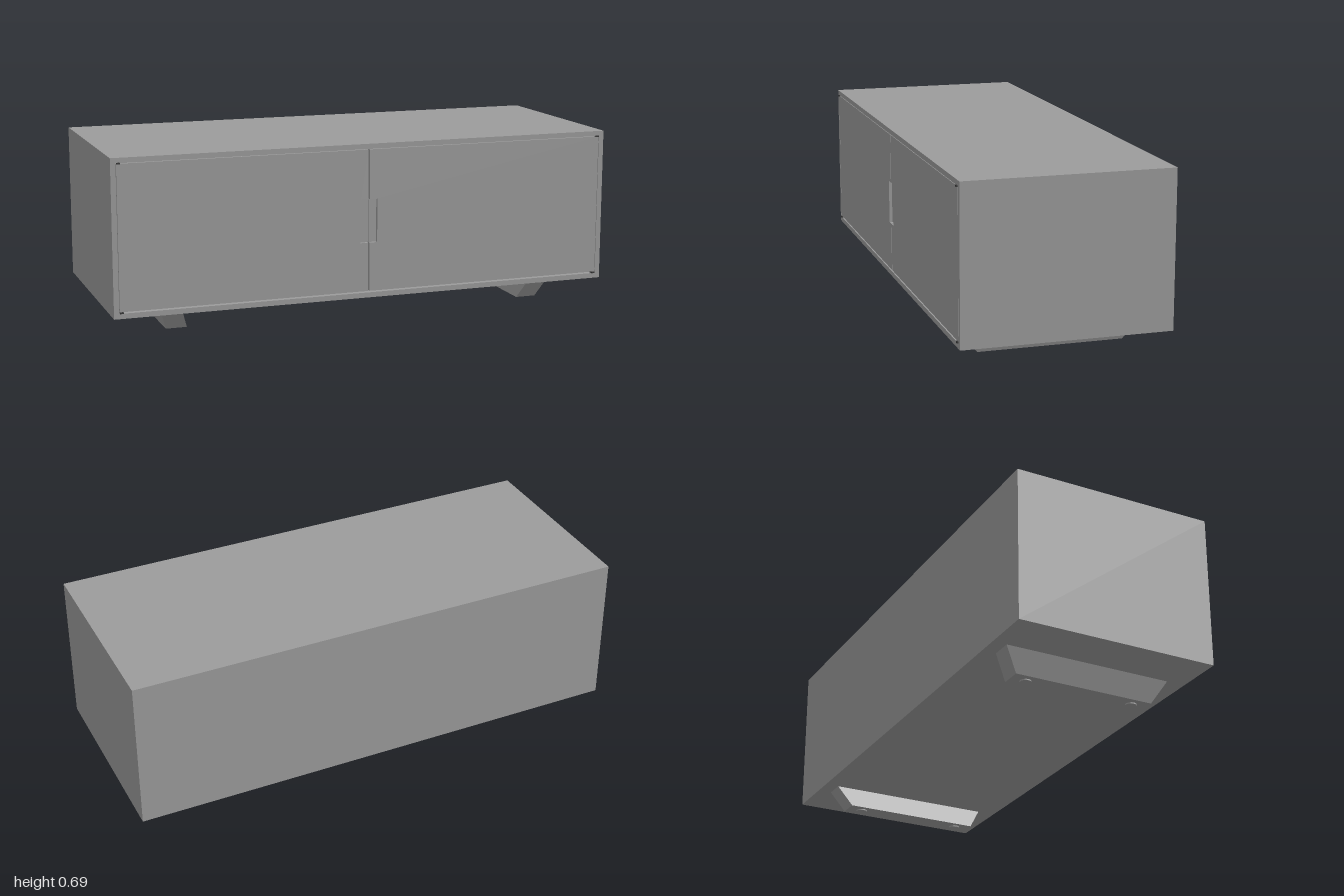
import * as THREE from 'three';

const mat = new THREE.MeshStandardMaterial({ color: 0x9c9c9c, side: THREE.DoubleSide, flatShading: true });
const hingeMat = new THREE.MeshStandardMaterial({ color: 0x383838 });
const W = 1, Y0 = 0.093, Y1 = 0.695, ZB = -0.402, ZF = 0.398, T = 0.02;
const RUNNER_Y = 0.005, NOTCH = 0.012;

function add(parent, name, geometry, x = 0, y = 0, z = 0, material = mat) {
  const mesh = new THREE.Mesh(geometry, material);
  mesh.name = name;
  mesh.position.set(x, y, z);
  parent.add(mesh);
}

function polygon(points) {
  return new THREE.Shape(points.map(([x, y]) => new THREE.Vector2(x, y)));
}

function extrude(shape, depth) {
  return new THREE.ExtrudeGeometry(shape, { depth, bevelEnabled: false });
}

const rect = (x0, y0, x1, y1) => [[x0, y0], [x1, y0], [x1, y1], [x0, y1]];

// Door leaf with a finger notch on its inner edge
function doorGeometry(side) {
  const a = 0.003, b = W - T - 0.002, lo = Y0 + T + 0.006, hi = Y1 - T - 0.002;
  const pts = [[a, lo], [b, lo], [b, hi], [a, hi], [a, 0.48], [0.034, 0.48], [0.034, 0.31], [a, 0.31]];
  return extrude(polygon(pts.map(([x, y]) => [x * side, y])), 0.025);
}

// Runner: a bar tapered at both ends and leaning inward towards the floor
function runnerGeometry(side) {
  const g = new THREE.BoxGeometry(1, 1, 1).toNonIndexed();
  const p = g.attributes.position;
  for (let i = 0; i < p.count; i++) {
    const top = p.getY(i) > 0;
    const center = top ? 0.766 : 0.734;
    const halfLength = top ? 0.335 : 0.281;
    p.setXYZ(i, side * center + p.getX(i) * 0.082, top ? Y0 : RUNNER_Y, -0.012 + Math.sign(p.getZ(i)) * halfLength);
  }
  g.computeVertexNormals();
  return g;
}

export function createModel() {
  const model = new THREE.Group();
  model.name = 'cabinet';

  // Open-fronted carcass and its back panel
  const shell = polygon(rect(-W, Y0, W, Y1));
  shell.holes.push(new THREE.Path(rect(-W + T, Y0 + T, W - T, Y1 - T).map(([x, y]) => new THREE.Vector2(x, y))));
  add(model, 'carcass', extrude(shell, ZF - ZB), 0, 0, ZB);
  add(model, 'backPanel', new THREE.BoxGeometry(2 * (W - T), Y1 - Y0 - 2 * T, T), 0, (Y0 + Y1) / 2, ZB + T / 2);

  for (const side of [-1, 1]) {
    const tag = side > 0 ? 'left' : 'right';

    // Door, recessed handle plate and pivot hinges
    const door = new THREE.Group();
    door.name = tag + 'Door';
    model.add(door);
    add(door, tag + 'DoorPanel', doorGeometry(side), 0, 0, ZF - 0.025);
    add(door, tag + 'HandlePlate', new THREE.BoxGeometry(0.031, 0.17, 0.006), side * 0.0185, 0.395, ZF - NOTCH - 0.003);
    for (const y of [0.116, 0.674])
      add(door, tag + 'Hinge', new THREE.BoxGeometry(0.013, 0.006, 0.03), side * 0.971, y, ZF - 0.01, hingeMat);

    // Floor runner with two round pads
    const base = new THREE.Group();
    base.name = tag + 'Base';
    model.add(base);
    add(base, tag + 'Runner', runnerGeometry(side));
    for (const z of [0.208, -0.232])
      add(base, tag + 'Pad', new THREE.CylinderGeometry(0.022, 0.022, RUNNER_Y, 24), side * 0.733, RUNNER_Y / 2, z);
  }
  return model;
}
